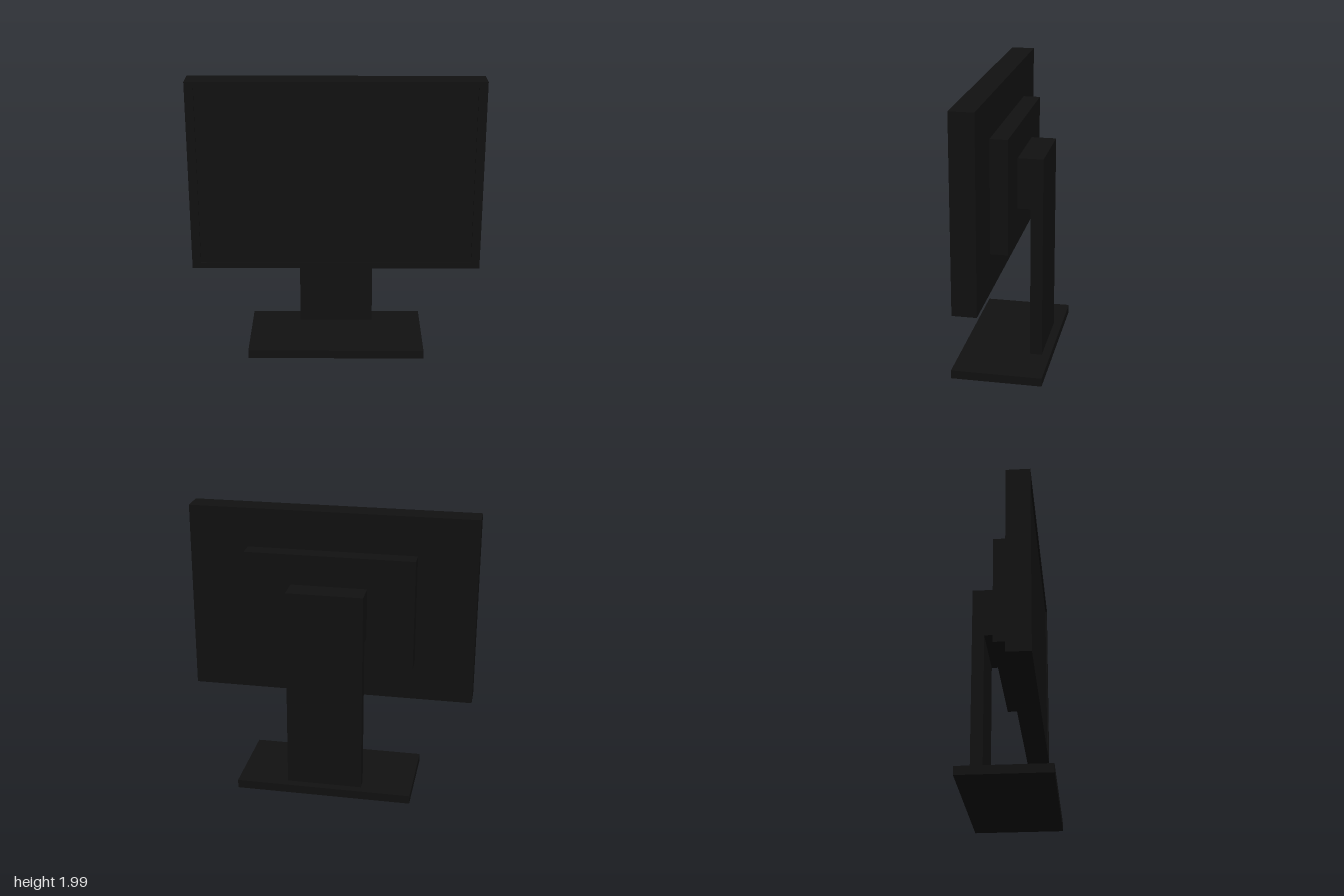
import * as THREE from 'three';

const black = new THREE.MeshStandardMaterial({ color: 0x111111 });

// Box given by its [min, max] extent on each axis
function block(name, [x0, x1], [y0, y1], [z0, z1]) {
  const mesh = new THREE.Mesh(new THREE.BoxGeometry(x1 - x0, y1 - y0, z1 - z0), black);
  mesh.position.set((x0 + x1) / 2, (y0 + y1) / 2, (z0 + z1) / 2);
  mesh.name = name;
  return mesh;
}

function rectangle(Type, w, h) {
  return new Type([[-w, -h], [w, -h], [w, h], [-w, h]].map(([x, y]) => new THREE.Vector2(x / 2, y / 2)));
}

export function createModel() {
  const model = new THREE.Group();
  model.name = 'monitor';

  // Flat foot
  model.add(block('base', [-0.62, 0.62], [0, 0.06], [-0.315, 0.315]));

  // Upright with the arm that reaches forward to the housing, as one side profile
  const profile = new THREE.Shape([
    [-0.255, 0.06], [-0.17, 0.06], [-0.17, 1.14], [-0.08, 1.14], [-0.08, 1.495], [-0.255, 1.495],
  ].map(([z, y]) => new THREE.Vector2(-z, y)));
  const stand = new THREE.Mesh(
    new THREE.ExtrudeGeometry(profile, { depth: 0.53, bevelEnabled: false }), black);
  stand.rotation.y = Math.PI / 2;
  stand.position.x = -0.265;
  stand.name = 'stand';
  model.add(stand);

  // Raised housing on the back of the display
  model.add(block('rearHousing', [-0.59, 0.59], [0.925, 1.71], [-0.08, 0.04]));

  // Display body with a thin bezel around a slightly recessed screen
  model.add(block('displayBody', [-1, 1], [0.65, 1.985], [0.04, 0.195]));
  const frame = rectangle(THREE.Shape, 2, 1.335);
  frame.holes.push(rectangle(THREE.Path, 1.88, 1.255));
  const bezel = new THREE.Mesh(
    new THREE.ExtrudeGeometry(frame, { depth: 0.01, bevelEnabled: false }), black);
  bezel.position.set(0, 1.3175, 0.195);
  bezel.name = 'bezel';
  model.add(bezel);

  return model;
}
